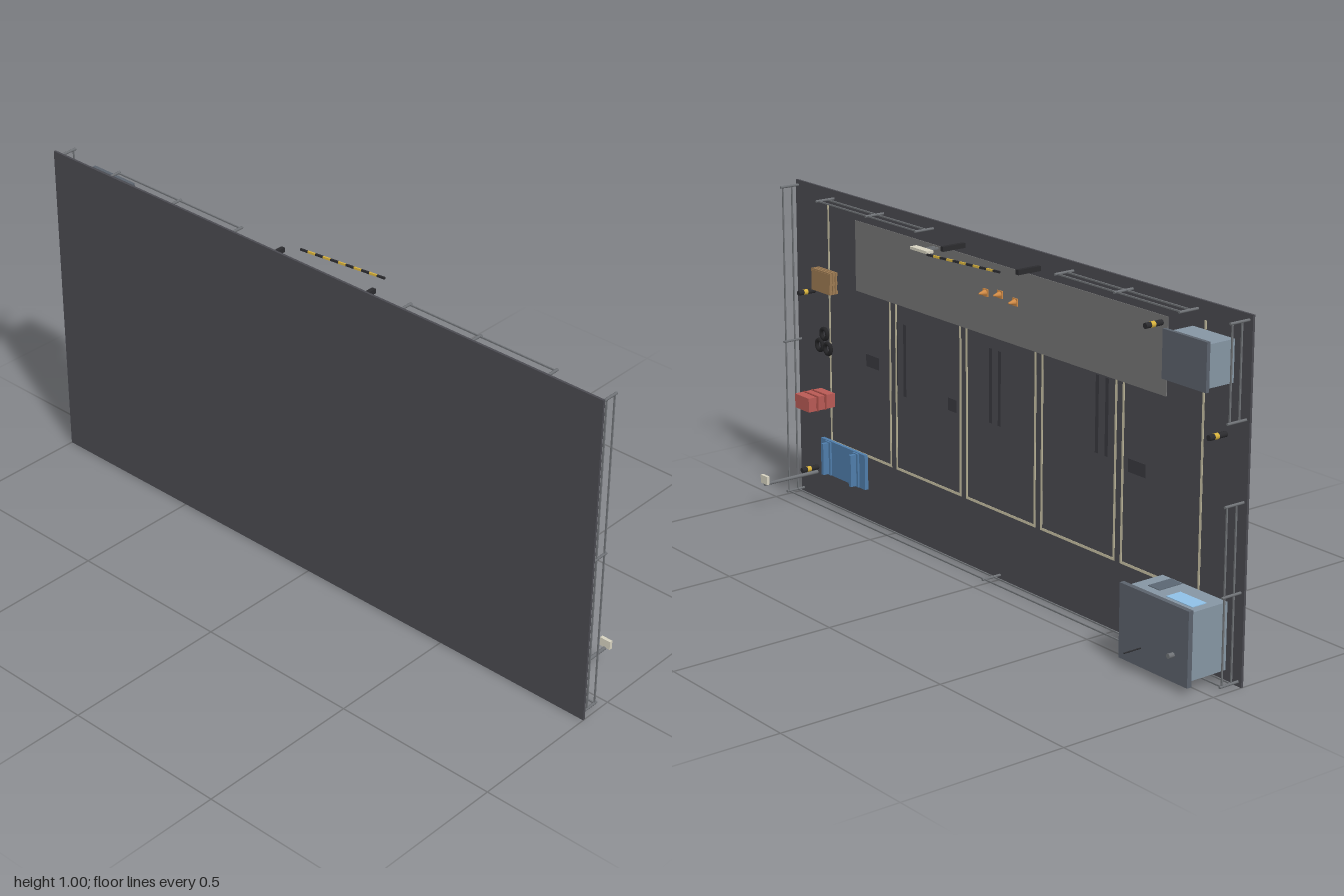
import * as THREE from 'three';

// The yard stands on edge: its plan is x/y and heights h rise toward -z.
const GROUND = 0.098;
const COLORS = {
  asphalt: 0x4a4a50, concrete: 0x767676, line: 0xc8c2a4, mark: 0x3a3a3f, rail: 0x6f7276, dark: 0x2b2b2e,
  yellow: 0xd8b23c, wall: 0x8595a3, roof: 0x5b626c, door: 0x5a6672, glass: 0x8fc0e6, blue: 0x4f7dab,
  red: 0xb85a55, darkRed: 0x98453f, wood: 0x9c7a52, orange: 0xd08a45, cream: 0xd6d2c0, tyre: 0x242426,
};
const mats = {};
const mat = (c) => (mats[c] ??= new THREE.MeshStandardMaterial({ color: COLORS[c] }));

// Box centred at plan (x, y), from height h0 to h1
function box(parent, name, c, x, y, w, d, h0, h1) {
  const m = new THREE.Mesh(new THREE.BoxGeometry(w, d, h1 - h0), mat(c));
  m.position.set(x, y, GROUND - (h0 + h1) / 2);
  m.name = name;
  parent.add(m);
  return m;
}

// Upright cylinder or cone at plan (x, y)
function post(parent, name, c, x, y, r0, r1, h0, h1, sides = 12) {
  const g = new THREE.CylinderGeometry(r1, r0, h1 - h0, sides).rotateX(-Math.PI / 2);
  const m = new THREE.Mesh(g, mat(c));
  m.position.set(x, y, GROUND - (h0 + h1) / 2);
  m.name = name;
  parent.add(m);
  return m;
}

function part(parent, name) {
  const g = new THREE.Group();
  g.name = name;
  parent.add(g);
  return g;
}

// Straight fence run with two rails and posts at the listed plan points
function fence(parent, points) {
  const g = part(parent, 'fence');
  points.forEach(([x, y]) => post(g, 'fencePost', 'rail', x, y, 0.004, 0.004, 0, 0.065, 8));
  const [ax, ay] = points[0], [bx, by] = points[points.length - 1];
  for (const h of [0.024, 0.057])
    box(g, 'fenceRail', 'rail', (ax + bx) / 2, (ay + by) / 2,
      Math.abs(bx - ax) + 0.004, Math.abs(by - ay) + 0.004, h - 0.002, h + 0.002);
}

export function createModel() {
  const root = new THREE.Group();
  root.name = 'parkingYard';

  // Ground slab and concrete lane
  box(root, 'groundSlab', 'asphalt', 0, 0.5, 2, 1, -0.007, 0);
  box(root, 'concreteLane', 'concrete', 0, 0.822, 1.38, 0.215, 0, 0.002);

  // Painted parking bays
  const bays = part(root, 'parkingBays');
  for (let i = -2; i <= 2; i++) {
    const cx = i * 0.338;
    box(bays, 'bayEndLine', 'line', cx, 0.207, 0.315, 0.008, 0, 0.001);
    for (const s of [-1, 1]) {
      const top = i * s === 2 ? 0.95 : 0.8;
      box(bays, 'baySideLine', 'line', cx + s * 0.154, (0.203 + top) / 2, 0.008, top - 0.203, 0, 0.001);
    }
  }

  // Tyre marks and drain covers
  for (const [x, y] of [[0.47, 0.55], [0.025, 0.57], [-0.435, 0.6]])
    for (const s of [-1, 1]) box(root, 'tyreMark', 'mark', x + s * 0.02, y, 0.013, 0.22, 0, 0.0008);
  for (const [x, y, w] of [[0.61, 0.51, 0.065], [0.22, 0.47, 0.04], [-0.58, 0.49, 0.07]])
    box(root, 'drainCover', 'mark', x, y, w, 0.038, 0, 0.0015);

  // Perimeter fences, with openings at the lane and the side gate
  const E = 0.987, T = 0.985, B = 0.014;
  fence(root, [[E, B], [E, 0.5], [E, T]]);
  fence(root, [[-E, B], [-E, 0.26], [-E, 0.505]]);
  fence(root, [[-E, 0.725], [-E, T]]);
  fence(root, [[-E, B], [0, B], [E, B]]);
  for (const s of [-1, 1]) fence(root, [[s * 0.31, 0.975], [s * 0.55, 0.975], [s * 0.8, 0.975]]);

  // Guard booth
  const booth = part(root, 'guardBooth');
  box(booth, 'boothWalls', 'wall', -0.815, 0.126, 0.25, 0.19, 0, 0.13);
  box(booth, 'boothRoof', 'roof', -0.817, 0.126, 0.268, 0.212, 0.13, 0.145);
  box(booth, 'boothDoor', 'door', -0.75, 0.221, 0.045, 0.004, 0.005, 0.085);
  box(booth, 'boothWindow', 'glass', -0.865, 0.221, 0.1, 0.004, 0.05, 0.1);
  box(booth, 'boothSideWindow', 'glass', -0.69, 0.14, 0.003, 0.1, 0.05, 0.095);
  post(booth, 'antenna', 'dark', -0.77, 0.074, 0.002, 0.002, 0.145, 0.203, 8);
  post(booth, 'roofVent', 'rail', -0.895, 0.096, 0.007, 0.007, 0.145, 0.163);

  // Storage hut
  const hut = part(root, 'storageHut');
  box(hut, 'hutWalls', 'wall', -0.86, 0.868, 0.155, 0.115, 0, 0.088);
  box(hut, 'hutRoof', 'roof', -0.86, 0.868, 0.165, 0.132, 0.088, 0.099);

  // Barrier posts and raised striped arm
  const barrier = part(root, 'entryBarrier');
  for (const s of [-1, 1]) box(barrier, 'barrierPost', 'dark', s * 0.167, 0.954, 0.012, 0.014, 0, 0.078);
  const arm = part(barrier, 'barrierArm');
  const stripes = 11, length = 0.28;
  for (let i = 0; i < stripes; i++) {
    const m = new THREE.Mesh(new THREE.BoxGeometry(length / stripes, 0.006, 0.005), mat(i % 2 ? 'yellow' : 'dark'));
    m.position.x = ((i + 0.5) / stripes - 0.5) * length;
    m.name = 'armStripe';
    arm.add(m);
  }
  arm.position.set(0.005, 0.953, -0.031);
  arm.rotation.y = Math.atan2(0.036, 0.275);

  // Sign on two legs
  const sign = part(root, 'signBoard');
  box(sign, 'signPanel', 'cream', 0.288, 0.926, 0.08, 0.008, 0.046, 0.07);
  for (const x of [0.285, 0.302]) box(sign, 'signLeg', 'rail', x, 0.923, 0.005, 0.005, 0, 0.048);

  // Traffic cones
  [-0.067, 0, 0.065].forEach((x, i) => {
    const cone = part(root, 'trafficCone'), y = i === 1 ? 0.846 : 0.838;
    box(cone, 'coneBase', 'orange', x, y, 0.022, 0.022, 0.002, 0.005);
    post(cone, 'coneBody', 'orange', x, y, 0.009, 0.002, 0.005, 0.027);
  });

  // Bollards with a yellow band
  for (const [x, y] of [[0.91, 0.67], [0.91, 0.102], [-0.667, 0.91], [-0.915, 0.67]]) {
    const b = part(root, 'bollard');
    post(b, 'bollardBody', 'dark', x, y, 0.008, 0.008, 0, 0.06);
    post(b, 'bollardBand', 'yellow', x, y, 0.0085, 0.0085, 0.028, 0.042);
  }

  // Lamp post
  const lamp = part(root, 'lampPost');
  post(lamp, 'lampPole', 'rail', 0.913, 0.085, 0.006, 0.005, 0, 0.198);
  box(lamp, 'lampHead', 'cream', 0.913, 0.1, 0.034, 0.026, 0.19, 0.2);

  // Stack of pallets
  const pallets = part(root, 'palletStack');
  for (let i = 0; i < 3; i++) {
    const h = i * 0.01;
    box(pallets, 'palletDeck', 'wood', 0.835, 0.717, 0.098, 0.068, h + 0.005, h + 0.009);
    for (const s of [-1, 0, 1])
      box(pallets, 'palletRunner', 'wood', 0.835, 0.717 + s * 0.028, 0.096, 0.01, h, h + 0.005);
    box(pallets, 'palletCore', 'wood', 0.835, 0.717, 0.09, 0.06, h, h + 0.01);
  }

  // Loose tyres
  for (const [x, y] of [[0.853, 0.545], [0.878, 0.505], [0.835, 0.502]]) {
    const m = new THREE.Mesh(new THREE.TorusGeometry(0.016, 0.0065, 10, 24), mat('tyre'));
    m.position.set(x, y, GROUND - 0.0065);
    m.name = 'tyre';
    root.add(m);
  }

  // Red cabinet with ribbed side
  const cabinet = part(root, 'redCabinet');
  box(cabinet, 'cabinetBody', 'red', 0.848, 0.343, 0.073, 0.044, 0, 0.097);
  for (const h of [0.035, 0.065]) box(cabinet, 'cabinetRib', 'darkRed', 0.848, 0.343, 0.074, 0.048, h - 0.003, h + 0.003);

  // Blue service ramp
  const ramp = part(root, 'serviceRamp');
  box(ramp, 'rampDeck', 'blue', 0.757, 0.155, 0.23, 0.11, 0, 0.012);
  for (const x of [0.685, 0.83]) {
    box(ramp, 'rampRail', 'blue', x, 0.155, 0.012, 0.1, 0.012, 0.038);
    box(ramp, 'rampFoot', 'blue', x, 0.155, 0.028, 0.106, 0.012, 0.018);
  }

  return root;
}
